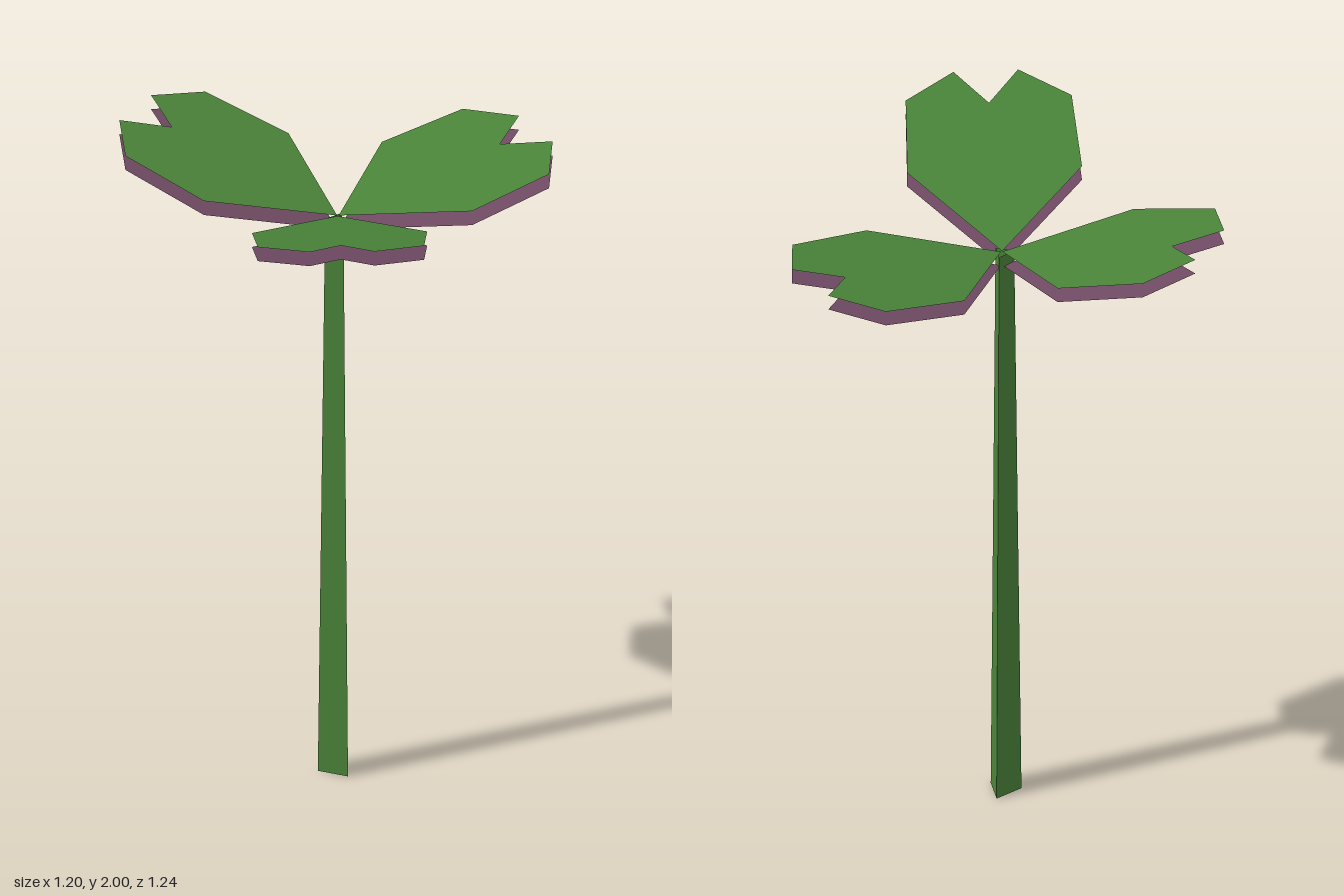
import * as THREE from 'three';

const material = (name, color) =>
  new THREE.MeshStandardMaterial({ name, color, flatShading: true, side: THREE.DoubleSide });

// Flat leaf outline in plan [x, z], tilted so that height rises by slope from the base point
function leafGeometry(outline, [slopeX, slopeZ], baseY) {
  const [bx, bz] = outline[0];
  const shape = new THREE.Shape(outline.map(([x, z]) => new THREE.Vector2(x, -z)));
  const geometry = new THREE.ShapeGeometry(shape);
  geometry.rotateX(-Math.PI / 2);
  const p = geometry.attributes.position;
  for (let i = 0; i < p.count; i++) {
    p.setY(i, baseY + slopeX * (p.getX(i) - bx) + slopeZ * (p.getZ(i) - bz));
  }
  geometry.computeVertexNormals();
  return geometry;
}

export function createModel() {
  const green = material('leaf green', 0x4a8439);
  const purple = material('underside purple', 0x6f4a63);
  const model = new THREE.Group();
  model.name = 'clover';

  // Three-sided tapering stem, open at both ends, with one flat side to the front
  const stem = new THREE.Mesh(
    new THREE.CylinderGeometry(0.033, 0.054, 1.775, 3, 1, true, Math.PI), green);
  stem.name = 'stem';
  stem.position.set(0.069, 1.775 / 2, -0.021);
  model.add(stem);

  // Heart-shaped leaves, each starting at its base point
  const leaves = [
    {
      name: 'frontLeaf', slope: [0.133, 0.306],
      outline: [[0.07, -0.025], [-0.04, 0.35], [0.075, 0.585], [0.25, 0.618],
        [0.287, 0.473], [0.42, 0.543], [0.513, 0.395], [0.42, 0.147]],
    },
    {
      name: 'backLeftLeaf', slope: [0.09, -0.135],
      outline: [[0.072, -0.03], [0.45, -0.118], [0.597, -0.34], [0.54, -0.505],
        [0.392, -0.465], [0.39, -0.615], [0.212, -0.622], [0.046, -0.417]],
    },
    {
      name: 'rightLeaf', slope: [-0.28, -0.02],
      outline: [[0.068, -0.028], [-0.2, -0.31], [-0.465, -0.326], [-0.578, -0.193],
        [-0.47, -0.088], [-0.6, -0.008], [-0.517, 0.147], [-0.255, 0.19]],
    },
  ];

  // Each leaf is a green sheet above a parallel purple one
  for (const { name, outline, slope } of leaves) {
    const leaf = new THREE.Group();
    leaf.name = name;
    const top = new THREE.Mesh(leafGeometry(outline, slope, 1.78), green);
    top.name = 'leafTop';
    const underside = new THREE.Mesh(leafGeometry(outline, slope, 1.735), purple);
    underside.name = 'leafUnderside';
    leaf.add(top, underside);
    model.add(leaf);
  }
  return model;
}
